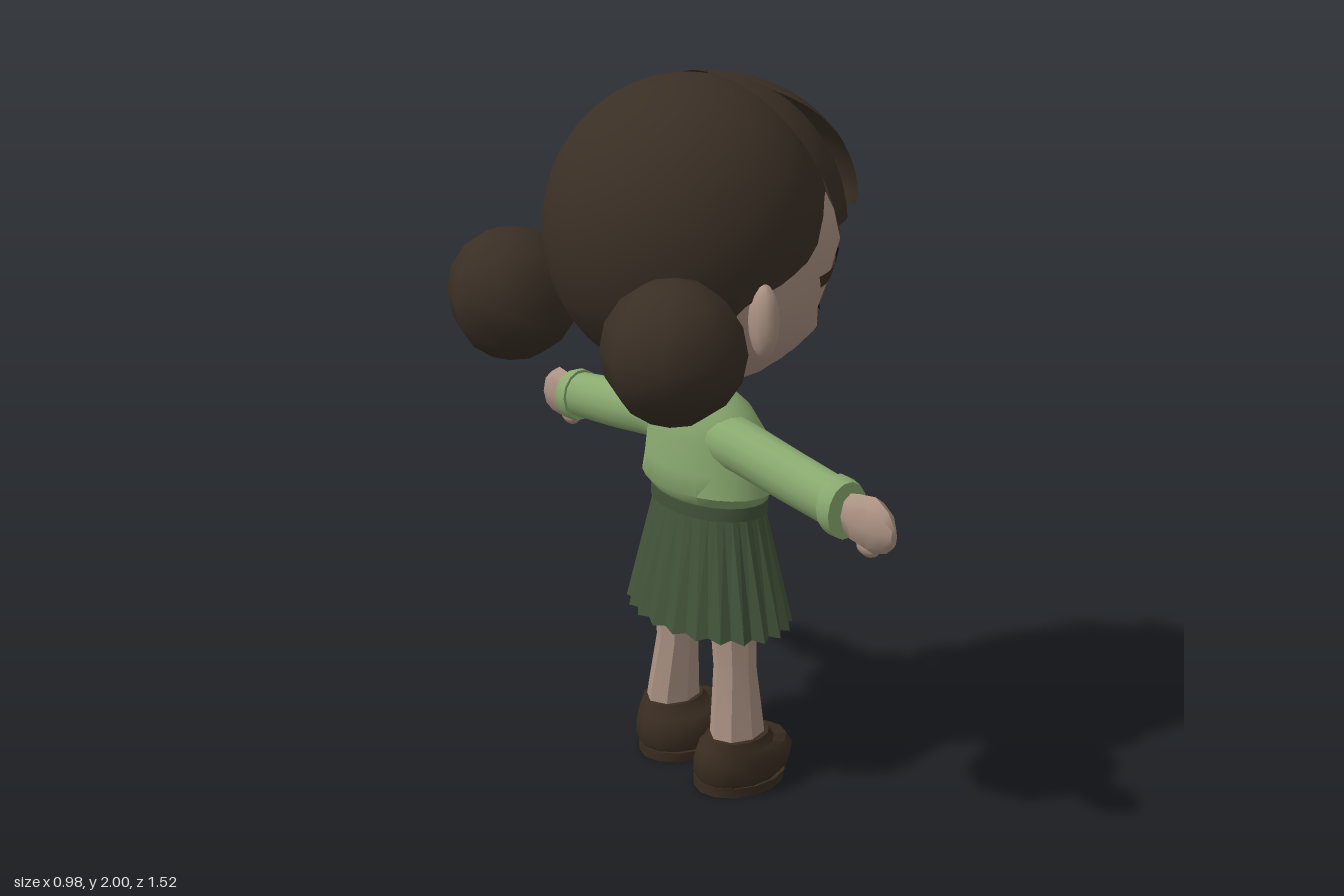
import * as THREE from 'three';
import { toCreasedNormals } from 'three/addons/utils/BufferGeometryUtils.js';

const { sin, cos, abs, PI, sqrt, acos } = Math;
const RAD = PI / 180;

function colour(name, hex, side = THREE.FrontSide) {
  const m = new THREE.MeshStandardMaterial({ color: hex, side });
  m.name = name;
  return m;
}

// Surface from rows of points; u runs around (a = 0 faces +z), v runs upward
function grid(nu, nv, fn, closed = false) {
  const pos = [], idx = [], cols = closed ? nu : nu + 1;
  for (let j = 0; j <= nv; j++)
    for (let i = 0; i < cols; i++) pos.push(...fn(i / nu, j / nv, i, j));
  for (let j = 0; j < nv; j++)
    for (let i = 0; i < nu; i++) {
      const k = (i + 1) % cols, a = j * cols + i, b = j * cols + k;
      idx.push(a, b, b + cols, a, b + cols, a + cols);
    }
  const g = new THREE.BufferGeometry();
  g.setAttribute('position', new THREE.Float32BufferAttribute(pos, 3));
  g.setIndex(idx);
  return g;
}

// Capped loft through rings [y, back z, front z, half width, centre x]
function loft(secs, n, mid) {
  const flat = ([y, b, f, w, cx]) => {
    const m = mid ?? (b + f) / 2;
    return [y, m, m, 0, cx];
  };
  const rows = [flat(secs[0]), ...secs, flat(secs[secs.length - 1])];
  return grid(n, rows.length - 1, (u, v, i, j) => {
    const [y, b, f, w, cx = 0] = rows[j], a = u * 2 * PI, c = cos(a);
    const m = mid ?? (b + f) / 2;
    return [cx + w * sin(a), y, m + (c > 0 ? f - m : m - b) * c];
  }, true);
}

// Linear lookup in a table sorted by its first column
function lookup(table, x, col = 1) {
  let k = 1;
  while (k < table.length - 1 && table[k][0] < x) k++;
  const p = table[k - 1], q = table[k];
  const t = THREE.MathUtils.clamp((x - p[0]) / (q[0] - p[0]), 0, 1);
  return p[col] + (q[col] - p[col]) * t;
}

const HEAD = [
  [1.16, -0.02, 0.27, 0.03], [1.2, -0.08, 0.345, 0.1], [1.25, -0.17, 0.375, 0.19],
  [1.31, -0.23, 0.41, 0.265], [1.38, -0.28, 0.38, 0.315], [1.46, -0.31, 0.405, 0.345],
  [1.56, -0.33, 0.44, 0.362], [1.64, -0.33, 0.41, 0.362], [1.8, -0.28, 0.32, 0.3], [1.92, -0.12, 0.16, 0.15],
];

// Thin painted patch lying on the face, from rows [y, x0, x1]
function facePatch(rows, lift) {
  return grid(8, 12, (u, v) => {
    const y = rows[0][0] + (rows[rows.length - 1][0] - rows[0][0]) * v;
    const x0 = lookup(rows, y, 1), x = x0 + (lookup(rows, y, 2) - x0) * u;
    const w = lookup(HEAD, y, 3);
    return [x, y, lookup(HEAD, y, 2) * sqrt(1 - (x / w) ** 2) + lift];
  });
}

// Point on the hair dome
function dome(a, th, cz, front, back, side) {
  const c = cos(a);
  return [side * sin(th) * sin(a), 1.6 + 0.4 * cos(th), cz + (c > 0 ? front : back) * sin(th) * c];
}

export function createModel() {
  const D = THREE.DoubleSide;
  const skin = colour('skin', 0xab9283);
  const hair = colour('hair brown', 0x3a2f25, D);
  const shirt = colour('shirt green', 0x8aaa70, D);
  const skirt = colour('skirt green', 0x43543a, D);
  const shoe = colour('shoe brown', 0x3a2d21);
  const black = colour('eye black', 0x090a0a, D);
  const lash = colour('lash brown', 0x3f2d20, D);

  const body = new THREE.Group();
  body.name = 'girl';
  const add = (name, geo, mat, crease = 0.8) => {
    const m = new THREE.Mesh(toCreasedNormals(geo, crease), mat);
    m.name = name;
    body.add(m);
  };
  const pair = (name, geo, mat, crease) => {
    const other = geo.clone().scale(-1, 1, 1);
    other.index.array.reverse();
    const cap = name[0].toUpperCase() + name.slice(1);
    add('left' + cap, geo, mat, crease);
    add('right' + cap, other, mat, crease);
  };
  const ball = (r, sx, sy, sz, x, y, z, n = 10) =>
    new THREE.SphereGeometry(r, n, 8).scale(sx, sy, sz).translate(x, y, z);

  // Head, ears and neck
  add('head', loft(HEAD, 40, 0), skin, 1.2);
  pair('ear', ball(0.1, 0.45, 0.97, 0.36, 0.372, 1.435, -0.04), skin, 1.2);
  add('neck', new THREE.CylinderGeometry(0.06, 0.06, 0.2, 10).translate(0, 1.14, 0.06), skin);

  // Painted face
  pair('eyeRim', facePatch([[1.37, 0.13, 0.185], [1.42, 0.14, 0.212], [1.48, 0.14, 0.228], [1.51, 0.14, 0.225]], 0.005), lash);
  pair('eye', facePatch([[1.35, 0.11, 0.155], [1.37, 0.098, 0.172], [1.43, 0.088, 0.193],
    [1.48, 0.085, 0.215], [1.515, 0.09, 0.22], [1.53, 0.11, 0.205]], 0.008), black);
  pair('lash', facePatch([[1.465, 0.275, 0.298], [1.48, 0.215, 0.305], [1.5, 0.21, 0.315]], 0.007), lash);
  pair('eyebrow', facePatch([[1.565, 0.12, 0.185], [1.58, 0.115, 0.19], [1.592, 0.13, 0.165]], 0.006), lash);

  // Hair dome with a hem that drops towards the nape
  const hem = [[0, 1.75], [55, 1.7], [70, 1.58], [90, 1.52], [103, 1.49], [115, 1.4], [130, 1.3], [180, 1.26]];
  add('hairCap', grid(48, 14, (u, v) => {
    const deg = u * 360 - 180;
    const th = acos((lookup(hem, abs(deg)) - 1.6) / 0.4) * (1 - v);
    return dome(deg * RAD, th, 0.01, 0.36, 0.38, 0.385);
  }, true), hair, 1.2);

  // Side fringe with notched ends
  add('sideFringe', grid(66, 12, (u, v) => {
    const s = u * 2 - 1, deg = abs(s) * 66;
    const notch = Math.max(0, 1 - abs(deg - 29) / 5, 1 - abs(deg - 43) / 5);
    const th = acos((1.64 + 0.09 * notch - 1.6) / 0.4) * (1 - v);
    return dome(s * (66 + 20 * v) * RAD, th, 0.06, 0.365, 0.36, 0.4);
  }), hair, 1.0);

  // Middle fringe: a curved teardrop lock standing proud of the forehead
  const lock = new THREE.CatmullRomCurve3([[1.625, 0.475], [1.68, 0.478], [1.76, 0.452], [1.84, 0.4], [1.92, 0.31], [1.97, 0.19], [1.99, 0.07]]
    .map(([y, z]) => new THREE.Vector3(0, y, z)));
  const lockWidth = [[0, 0.15], [0.1, 0.16], [0.5, 0.17], [0.7, 0.155], [0.88, 0.09], [1, 0.005]];
  add('middleFringe', grid(16, 16, (u, v) => {
    const p = lock.getPoint(v), t = lock.getTangent(v), a = u * 2 * PI;
    const x = lookup(lockWidth, v) * sin(a);
    const d = 0.013 * cos(a) - (0.5 + 0.8 * v) * x * x;
    return [x, p.y - t.z * d, p.z + t.y * d];
  }, true), hair, 1.0);

  // Hair buns
  pair('hairBun', ball(0.182, 1, 1, 1, 0.355, 1.4, -0.31, 8), hair, 1.2);

  // Shirt
  add('shirtBody', loft([
    [0.85, -0.04, 0.205, 0.185], [0.89, -0.07, 0.23, 0.226], [0.95, -0.066, 0.24, 0.215],
    [1.04, -0.06, 0.212, 0.195], [1.11, -0.048, 0.17, 0.165], [1.165, -0.02, 0.12, 0.08],
  ], 24), shirt);
  const collarHem = [[0, 1.15], [28, 1.085], [60, 1.11], [180, 1.125]];
  add('collar', grid(48, 2, (u, v) => {
    const deg = u * 360 - 180, a = deg * RAD;
    const y = lookup(collarHem, abs(deg)) * (1 - v) + 1.17 * v;
    const flare = (1.17 - y) / 0.06;
    return [(0.085 + 0.055 * flare) * sin(a), y, 0.05 + (0.08 + 0.032 * flare) * cos(a)];
  }, true), shirt);

  // Arms, lofted outward from the shoulder
  const arm = (secs, n) => loft(secs, n).rotateZ(-PI / 2);
  pair('sleeve', arm([
    [0.1, -0.03, 0.12, 0.075, -1.045], [0.2, -0.02, 0.115, 0.073, -1.033],
    [0.38, -0.012, 0.106, 0.073, -1.01], [0.57, -0.01, 0.106, 0.068, -0.988],
  ], 14), shirt);
  pair('cuff', arm([
    [0.557, -0.018, 0.114, 0.078, -0.988], [0.58, -0.02, 0.116, 0.08, -0.984], [0.602, -0.018, 0.114, 0.076, -0.98],
  ], 14), shirt);
  pair('hand', arm([
    [0.58, 0.028, 0.085, 0.045, -0.975], [0.63, 0.02, 0.1, 0.066, -0.965], [0.69, 0.018, 0.1, 0.076, -0.965],
    [0.735, 0.03, 0.088, 0.055, -0.96], [0.76, 0.048, 0.068, 0.026, -0.955],
  ], 8), skin);
  pair('thumb', ball(0.04, 1, 0.75, 0.6, 0.655, 0.897, 0.075, 8), skin);

  // Pleated skirt and waistband
  add('waistband', loft([[0.82, -0.05, 0.222, 0.2], [0.858, -0.05, 0.222, 0.2]], 24), skirt);
  add('pleatedSkirt', grid(44, 1, (u, v, i) => {
    const a = u * 2 * PI, k = i % 2 ? 0.93 + 0.05 * v : 1;
    return [(0.285 - 0.1 * v) * k * sin(a), 0.49 + 0.34 * v + (i % 2 ? 0.008 * (1 - v) : 0), 0.085 + (0.197 - 0.067 * v) * k * cos(a)];
  }, true), skirt, 0.1);

  // Legs and shoes
  pair('leg', loft([
    [0.14, -0.015, 0.16, 0.07, 0.15], [0.2, -0.008, 0.155, 0.066, 0.146], [0.36, 0.015, 0.138, 0.06, 0.132],
    [0.5, 0.008, 0.138, 0.066, 0.127], [0.7, 0.0, 0.14, 0.07, 0.115],
  ], 8), skin, 0.5);
  pair('shoeSole', loft([[0, -0.045, 0.24, 0.112, 0.13], [0.03, -0.045, 0.245, 0.115, 0.13]], 14), shoe, 0.6);
  pair('shoe', loft([
    [0.03, -0.042, 0.225, 0.105, 0.133], [0.05, -0.05, 0.25, 0.115, 0.135], [0.09, -0.05, 0.262, 0.117, 0.137],
    [0.125, -0.042, 0.24, 0.105, 0.14], [0.135, -0.035, 0.19, 0.092, 0.146], [0.165, -0.022, 0.17, 0.078, 0.15],
  ], 14), shoe, 0.8);

  // The figure looks along +x
  body.rotation.y = PI / 2;
  const model = new THREE.Group();
  model.name = 'model';
  model.add(body);
  return model;
}
